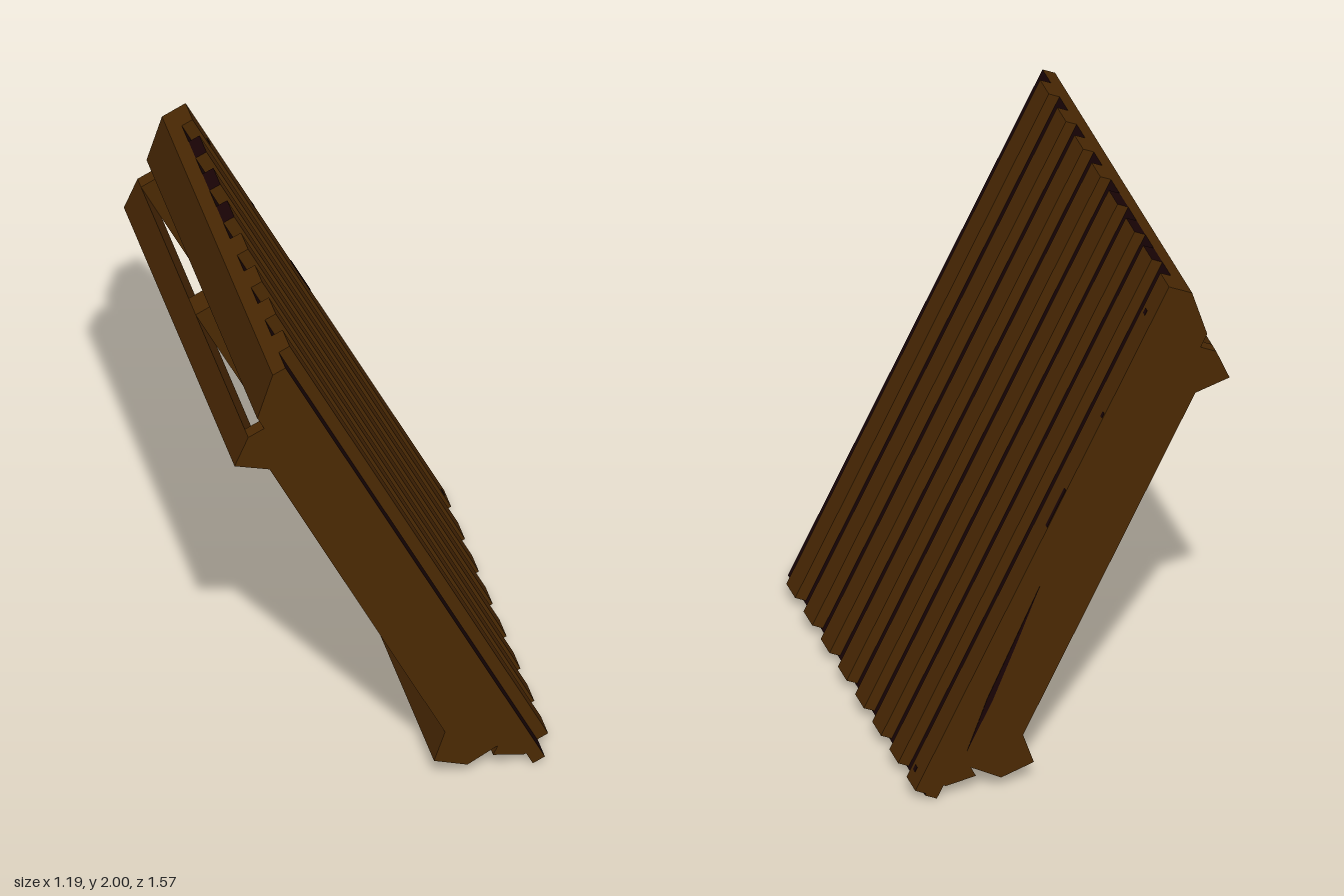
import * as THREE from 'three';

const material = (name, color) => {
  const m = new THREE.MeshStandardMaterial({ color });
  m.name = name;
  return m;
};

export function createModel() {
  const brown = material('brown wood', 0x4b2903);
  const dark = material('dark wood', 0x190305);
  const W = 0.785; // half width along z
  const LENGTH = 2.182; // length down the slope

  // Local frame: x = outward normal, y = up the slope, origin at the upper outer edge
  const panel = new THREE.Group();
  panel.name = 'leaningPanel';

  const add = (name, geometry, mat) => {
    const mesh = new THREE.Mesh(geometry, mat);
    mesh.name = name;
    panel.add(mesh);
  };

  // Box given by ranges of distance down the slope (s), depth (t) and z
  const box = (name, s0, s1, t0, t1, z0, z1, mat = brown) => {
    const g = new THREE.BoxGeometry(t1 - t0, s1 - s0, z1 - z0);
    g.translate((t0 + t1) / 2, -(s0 + s1) / 2, (z0 + z1) / 2);
    add(name, g, mat);
  };

  // Beam of constant cross-section, points given as [s, t]
  const beam = (name, points, z0, z1, mat = brown) => {
    const shape = new THREE.Shape(points.map(([s, t]) => new THREE.Vector2(t, -s)));
    const g = new THREE.ExtrudeGeometry(shape, { depth: z1 - z0, bevelEnabled: false });
    g.translate(0, 0, z0);
    add(name, g, mat);
  };

  // Base sheet: dark faces, brown edges
  box('baseSheet', 0, LENGTH, -0.095, -0.045, -W, W, [dark, dark, brown, brown, brown, brown]);

  // Eight raised battens with dark lower ends, a few with dark upper ends
  for (let i = 0; i < 8; i++) {
    const z = 0.59 - i * 0.1965;
    const upperEnd = i >= 4 && i <= 6 ? dark : brown;
    box('batten', 0, LENGTH - 0.008, -0.045, 0, z, z + 0.1, [brown, brown, upperEnd, dark, brown, brown]);
  }

  // Rafters at both ends and in the middle, stepped below the ridge
  const rafter = [
    [0, -0.095], [0.142, -0.231], [0.198, -0.231], [0.198, -0.297],
    [2.037, -0.297], [2.03, -0.176], [2.03, -0.095],
  ];
  beam('endRafter', rafter, -W, -W + 0.05);
  beam('endRafter', rafter, W - 0.05, W);
  beam('middleRafter', rafter, -0.06, 0.04);

  // Deep cross slats under the sheet, with dark edges
  for (let i = 0; i < 12; i++) {
    const s = 0.22 + i * 0.15;
    box('crossSlat', s, s + 0.08, -0.228, -0.095, -W + 0.05, W - 0.05, [brown, brown, dark, dark, brown, brown]);
  }

  // Full-width beams: chamfered ridge, two purlins laid under the rafters, lower edge
  beam('ridgeBeam', [[0, -0.095], [0, -0.098], [0.142, -0.232], [0.142, -0.095]], -W, W);
  beam('upperPurlin', [[0.198, -0.297], [0.284, -0.396], [0.377, -0.297]], -W, W);
  beam('lowerPurlin', [[1.851, -0.295], [1.945, -0.388], [2.037, -0.295]], -W, W);
  beam('lowerEdgeBeam', [[2.03, -0.095], [2.03, -0.165], [2.056, -0.198], [2.125, -0.105], [2.125, -0.095]], -W, W);

  // Open seam between the sheet and the end rafter
  beam('sideSeam', [[1.27, -0.08], [1.5, -0.1], [1.75, -0.118], [1.97, -0.118], [1.75, -0.095]], -W - 0.002, -W, dark);

  // Worn spots on the outermost batten
  for (const [s, length, z, width] of [[0.14, 0.02, -0.725, 0.02], [2.11, 0.02, -0.725, 0.02], [0.55, 0.02, -0.78, 0.015], [0.88, 0.16, -0.783, 0.018]]) {
    box('wornSpot', s, s + length, 0, 0.002, z, z + width, dark);
  }

  panel.rotation.z = 0.458;
  panel.position.set(-0.37, 2, 0);

  const model = new THREE.Group();
  model.name = 'leaningWoodPanel';
  model.add(panel);
  return model;
}
